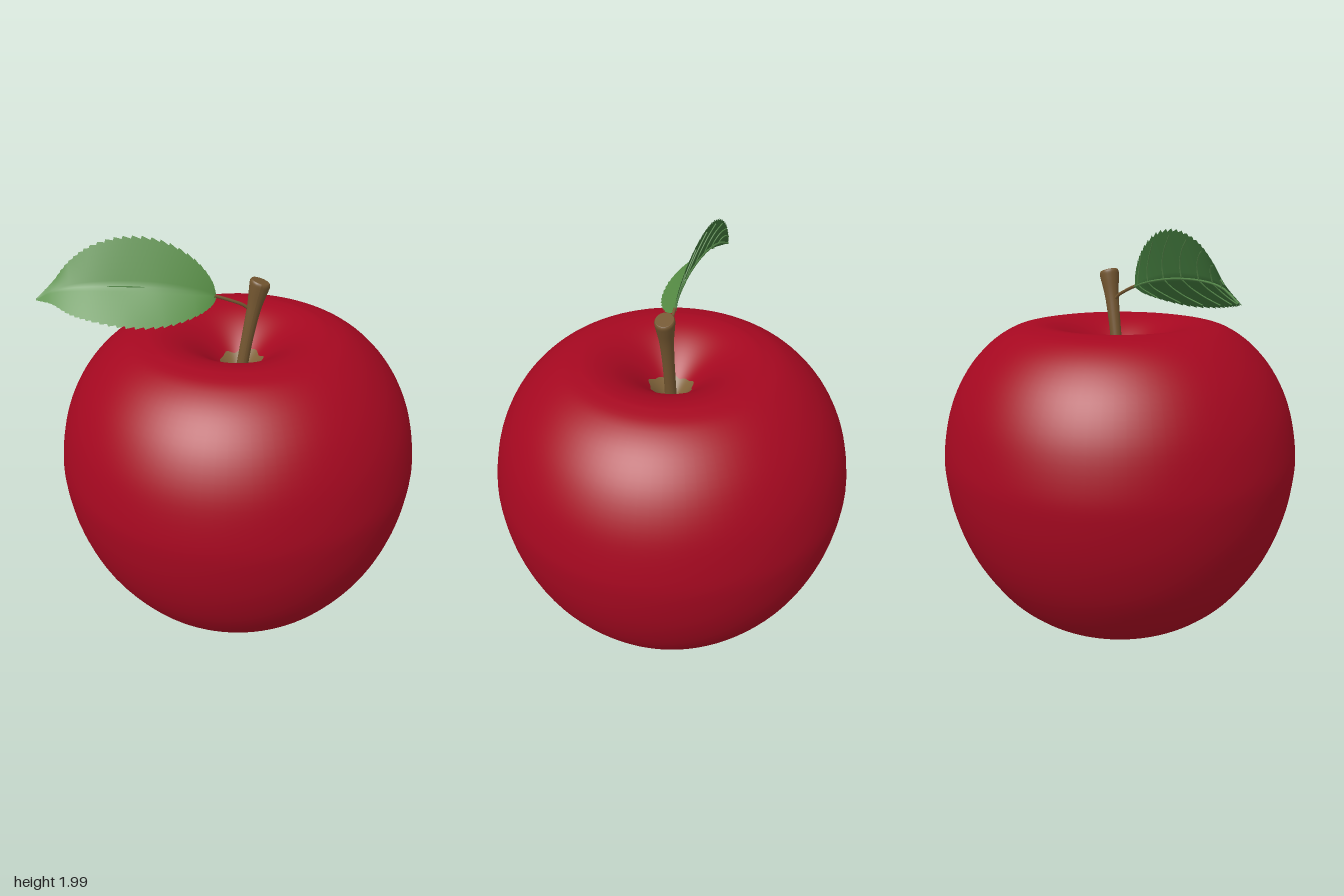
import * as THREE from 'three';

const AXIS = 0.022; // x of the fruit's core
const V = (x, y, z) => new THREE.Vector3(x, y, z);

const mat = (name, color, side = THREE.FrontSide) => {
  const m = new THREE.MeshStandardMaterial({ color, side });
  m.name = name;
  return m;
};

// Height of the hollow around the stem at distance r from the core
const hollowY = (r) => 1.535 - 0.285 * (1 - r / 0.42) ** 2;

// Surface from a rule f(u, v), u and v in 0..1
function surface(nu, nv, f, flip = false) {
  const pos = [], idx = [];
  for (let i = 0; i <= nu; i++)
    for (let j = 0; j <= nv; j++) pos.push(...f(i / nu, j / nv).toArray());
  for (let i = 0; i < nu; i++)
    for (let j = 0; j < nv; j++) {
      const a = i * (nv + 1) + j, b = a + nv + 1;
      if (flip) idx.push(a, a + 1, b, b, a + 1, b + 1);
      else idx.push(a, b, a + 1, b, b + 1, a + 1);
    }
  const g = new THREE.BufferGeometry();
  g.setAttribute('position', new THREE.Float32BufferAttribute(pos, 3));
  g.setIndex(idx);
  g.computeVertexNormals();
  return g;
}

// Leaf: midrib, upper edge and lower edge at matching stations
const stations = [
  // x, mid y, mid z, upper y, upper z, lower y, lower z
  [-0.08, 1.72, 0.02, 1.725, 0.02, 1.715, 0.022],
  [-0.10, 1.73, 0.025, 1.795, 0.012, 1.69, 0.05],
  [-0.18, 1.75, 0.035, 1.895, -0.005, 1.66, 0.11],
  [-0.33, 1.775, 0.04, 1.977, -0.025, 1.64, 0.17],
  [-0.50, 1.785, 0.035, 1.992, -0.035, 1.65, 0.185],
  [-0.65, 1.785, 0.025, 1.95, -0.04, 1.672, 0.155],
  [-0.75, 1.775, 0.01, 1.88, -0.042, 1.69, 0.11],
  [-0.83, 1.755, -0.005, 1.79, -0.035, 1.713, 0.045],
  [-0.91, 1.715, -0.015, 1.718, -0.015, 1.712, -0.012],
];
const rail = (k) => new THREE.CatmullRomCurve3(stations.map((s) => V(s[0], s[k], s[k + 1])));
const [mid, upper, lower] = [rail(1), rail(3), rail(5)];

// w runs from -1 (lower edge) through 0 (midrib) to 1 (upper edge)
function leafPoint(u, w, teeth = true) {
  const m = mid.getPoint(u), e = (w < 0 ? lower : upper).getPoint(u);
  const k = Math.abs(w);
  const saw = teeth && k > 0.99 ? 1 + 0.07 * (((u * 32) % 1) - 0.5) : 1;
  return m.lerp(e, k * saw);
}

export function createModel() {
  const model = new THREE.Group();
  const red = mat('apple red', 0xa50820);
  const brown = mat('stem brown', 0x735630);
  const tan = mat('hollow tan', 0x80633a, THREE.DoubleSide);
  const green = mat('leaf green', 0x588f46);
  const darkGreen = mat('leaf underside green', 0x3f743a);
  const veinGreen = mat('vein green', 0x55884a);
  const add = (name, geo, material, parent = model) => {
    const mesh = new THREE.Mesh(geo, material);
    mesh.name = name;
    parent.add(mesh);
    return mesh;
  };

  // Fruit: one turned profile with a dimple below and a hollow on top
  const side = [
    [0, 0.17], [0.06, 0.125], [0.14, 0.065], [0.24, 0.022], [0.34, 0.006], [0.44, 0.035],
    [0.545, 0.105], [0.65, 0.21], [0.77, 0.395], [0.848, 0.6], [0.883, 0.8], [0.881, 0.95],
    [0.84, 1.14], [0.76, 1.305], [0.65, 1.432], [0.53, 1.51], [0.42, 1.535],
  ].map(([r, y]) => new THREE.Vector2(r, y));
  const profile = new THREE.SplineCurve(side).getPoints(80);
  for (let i = 1; i <= 20; i++) {
    const r = 0.42 * (1 - i / 20);
    profile.push(new THREE.Vector2(r, hollowY(r)));
  }
  profile.forEach((p) => { p.x = Math.max(p.x, 0); });
  add('fruit', new THREE.LatheGeometry(profile, 96), red).position.x = AXIS;

  // Ragged dry patch lying in the hollow
  const patch = surface(60, 8, (u, v) => {
    const a = u * Math.PI * 2;
    const r = v * (0.105 + 0.013 * Math.cos(a) + 0.005 * Math.sin(5 * a) + 0.004 * Math.sin(9 * a + 1));
    return V(AXIS + r * Math.cos(a), hollowY(r) + 0.006, r * Math.sin(a));
  }, true);
  add('hollowPatch', patch, tan);

  // Stem: turned, then leaned, with a slanted cut end
  const stemSide = [[0.03, 1.25], [0.028, 1.4], [0.029, 1.54], [0.034, 1.66], [0.044, 1.74], [0.047, 1.77], [0.042, 1.782]];
  const stemCurve = new THREE.SplineCurve(stemSide.map(([r, y]) => new THREE.Vector2(r, y)));
  const stemPoints = [...stemCurve.getPoints(30), new THREE.Vector2(0.04, 1.782), new THREE.Vector2(0, 1.782)];
  const stem = new THREE.LatheGeometry(stemPoints, 24);
  const p = stem.attributes.position;
  for (let i = 0; i < p.count; i++) {
    const x = p.getX(i), y = p.getY(i);
    const t = (y - 1.25) / 0.53;
    p.setXYZ(i, x + 0.028 + 0.07 * t + 0.027 * t * t, y - 0.35 * x * t, p.getZ(i));
  }
  stem.computeVertexNormals();
  add('stem', stem, brown);

  // Leaf stalk
  const stalk = new THREE.CatmullRomCurve3([
    V(0.085, 1.63, 0), V(0.05, 1.665, 0.005), V(-0.01, 1.695, 0.015), V(-0.09, 1.725, 0.022),
  ]);
  add('leafStalk', new THREE.TubeGeometry(stalk, 20, 0.008, 8), brown);

  // Leaf: light face, darker underside
  const leaf = new THREE.Group();
  leaf.name = 'leaf';
  model.add(leaf);
  const blade = (u, v) => leafPoint(u, v * 2 - 1);
  add('leafFace', surface(256, 16, blade, true), green, leaf);
  add('leafUnderside', surface(256, 16, blade, false), darkGreen, leaf);

  // Raised veins on the underside
  const vein = (name, points, r) => {
    points.forEach((q) => { q.z -= 0.004; q.y -= 0.002; });
    add(name, new THREE.TubeGeometry(new THREE.CatmullRomCurve3(points), 14, r, 5), veinGreen, leaf);
  };
  vein('midrib', [0, 0.2, 0.4, 0.6, 0.8, 0.98].map((u) => leafPoint(u, 0)), 0.005);
  for (let i = 0; i < 7; i++)
    for (const s of [-1, 1]) {
      const u = 0.14 + i * 0.105;
      vein('sideVein', [0, 0.3, 0.6, 0.9].map((k) => leafPoint(u + 0.12 * k * k, s * k, false)), 0.003);
    }

  return model;
}
